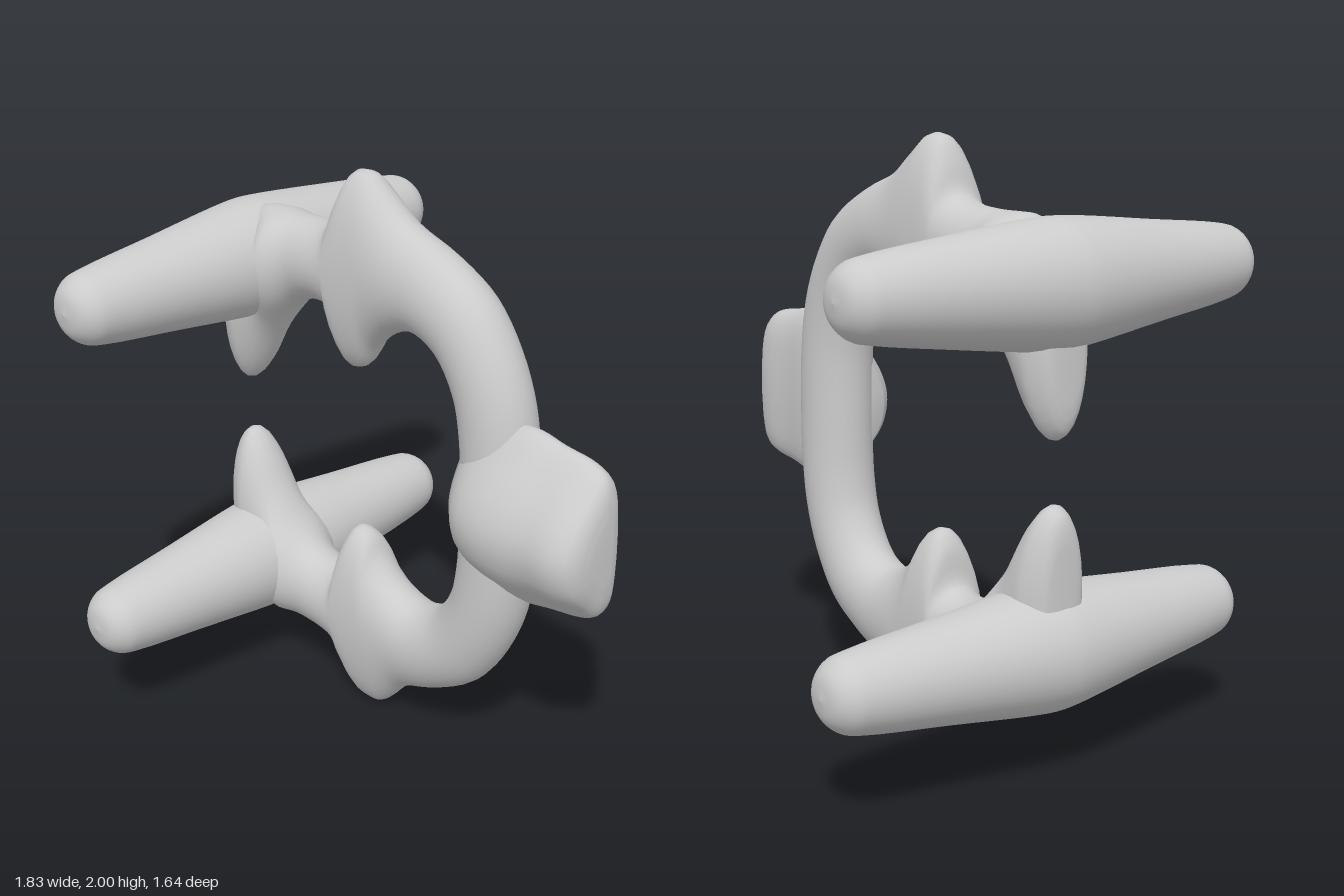
import * as THREE from 'three';

const material = new THREE.MeshStandardMaterial({ color: 0xcccccc });
const V = (x, y, z = 0) => new THREE.Vector3(x, y, z);

// Skin a row of closed cross-sections and cap both ends.
function loft(sections) {
  const n = sections[0].length, rows = sections.length;
  const pos = [], index = [];
  sections.forEach(s => s.forEach(p => pos.push(p.x, p.y, p.z)));
  for (let i = 0; i < rows - 1; i++) {
    for (let j = 0; j < n; j++) {
      const k = (j + 1) % n;
      const a = i * n + j, b = i * n + k, c = a + n, d = b + n;
      index.push(a, b, c, b, d, c);
    }
  }
  [0, rows - 1].forEach(r => {
    const mid = sections[r].reduce((m, p) => m.add(p), V(0, 0)).divideScalar(n);
    const c = pos.length / 3;
    pos.push(mid.x, mid.y, mid.z);
    for (let j = 0; j < n; j++) {
      const a = r * n + j, b = r * n + (j + 1) % n;
      if (r === 0) index.push(c, b, a); else index.push(c, a, b);
    }
  });
  const geo = new THREE.BufferGeometry();
  geo.setAttribute('position', new THREE.Float32BufferAttribute(pos, 3));
  geo.setIndex(index);
  geo.computeVertexNormals();
  return geo;
}

// Upper half of the ring: outer x, y and inner x, y, from jaw tip to the middle.
const stations = [
  [-.81, 1.60, -.812, 1.32], [-.79, 1.65, -.80, 1.14], [-.74, 1.72, -.75, 1.10],
  [-.68, 1.76, -.69, 1.15], [-.62, 1.78, -.60, 1.31], [-.54, 1.78, -.52, 1.42],
  [-.44, 1.78, -.42, 1.49], [-.34, 1.79, -.32, 1.505], [-.28, 1.82, -.27, 1.48],
  [-.245, 1.92, -.25, 1.36], [-.20, 1.99, -.215, 1.305], [-.13, 1.995, -.16, 1.32],
  [-.07, 1.95, -.11, 1.40], [.03, 1.87, -.03, 1.47], [.20, 1.80, .08, 1.51],
  [.36, 1.70, .19, 1.47], [.47, 1.55, .27, 1.35], [.54, 1.38, .295, 1.22],
  [.57, 1.18, .30, 1.10],
];

// C-shaped ring whose cross-sections stretch to form the spikes.
function ringGeometry() {
  const lower = stations.map(([ox, oy, ix, iy]) => {
    const shift = .035 * Math.exp(-(((ox + .12) / .12) ** 2));
    return [ox + shift, 2 - oy, ix + shift * .4, 2 - iy];
  }).reverse();
  const all = [...stations, [.575, 1, .30, 1], ...lower];
  const outer = new THREE.CatmullRomCurve3(all.map(s => V(s[0], s[1])));
  const inner = new THREE.CatmullRomCurve3(all.map(s => V(s[2], s[3])));
  const steps = (all.length - 1) * 4, sections = [];
  for (let i = 0; i <= steps; i++) {
    const o = outer.getPoint(i / steps), q = inner.getPoint(i / steps);
    const mid = o.clone().add(q).multiplyScalar(.5), half = o.clone().sub(mid);
    const end = Math.min(i, steps - i) / 10;
    // Rounded jaw ends, and a fillet where the ring meets the crossbars.
    const depth = .123 * Math.sqrt(Math.min(1, .06 + end))
      + .05 * Math.exp(-(((mid.x + .54) / .055) ** 2));
    const section = [];
    for (let j = 0; j < 28; j++) {
      const a = j / 28 * Math.PI * 2;
      const p = mid.clone().addScaledVector(half, Math.cos(a));
      p.z = -.012 + depth * Math.sin(a);
      section.push(p);
    }
    sections.push(section);
  }
  return loft(sections);
}

// Pad on the closed side of the ring: flat at the back, ridged at the front.
function padGeometry() {
  const profile = [
    [0, 1.33], [.03, 1.325], [.10, 1.25], [.18, 1.14], [.215, 1.05], [.215, .97], [.18, .88],
    [.09, .79], [.02, .73], [-.04, .75], [-.065, .85], [-.065, 1.18], [-.04, 1.29],
  ];
  const outline = new THREE.CatmullRomCurve3(profile.map(([z, y]) => V(0, y, z)), true)
    .getPoints(40).slice(0, 40);
  // x, height scale, depth scale
  const scales = new THREE.CatmullRomCurve3([
    V(.33, .6, .4), V(.42, .88, .85), V(.52, 1, 1), V(.6, 1.02, 1), V(.7, .96, .96),
    V(.8, .91, 1), V(.86, .84, .92), V(.895, .68, .7), V(.91, .35, .35),
  ]).getPoints(32);
  return loft(scales.map(s =>
    outline.map(p => V(s.x, 1.02 + (p.y - 1.02) * s.y, .05 + (p.z - .05) * s.z))));
}

// Tapered, round-ended bar running front to back.
function crossbarGeometry(front, back) {
  const half = len => [
    [.204, .02], [.196, .12], [.163, .4], [.128, len - .12],
    [.113, len - .06], [.07, len - .015], [0, len],
  ];
  const points = [
    ...half(back).reverse().map(([r, z]) => V(r, -z)),
    ...half(front).map(([r, z]) => V(r, z)),
  ];
  const profile = new THREE.CatmullRomCurve3(points).getPoints(52)
    .map(p => new THREE.Vector2(Math.max(0, p.x), p.y));
  const geo = new THREE.LatheGeometry(profile, 32);
  geo.rotateX(Math.PI / 2);
  // The tips lean slightly inward and up.
  const pos = geo.attributes.position;
  for (let i = 0; i < pos.count; i++) {
    const lean = .018 * Math.abs(pos.getZ(i)) / .8;
    pos.setXY(i, pos.getX(i) + lean, pos.getY(i) + lean * .6);
  }
  return geo;
}

export function createModel() {
  const model = new THREE.Group();
  const add = (name, geometry, x = 0, y = 0) => {
    const mesh = new THREE.Mesh(geometry, material);
    mesh.name = name;
    mesh.position.set(x, y, 0);
    model.add(mesh);
  };
  add('spikedRing', ringGeometry());
  add('sidePad', padGeometry());
  add('upperCrossbar', crossbarGeometry(.82, .785), -.715, 1.575);
  add('lowerCrossbar', crossbarGeometry(.82, .825), -.69, .415);
  return model;
}
